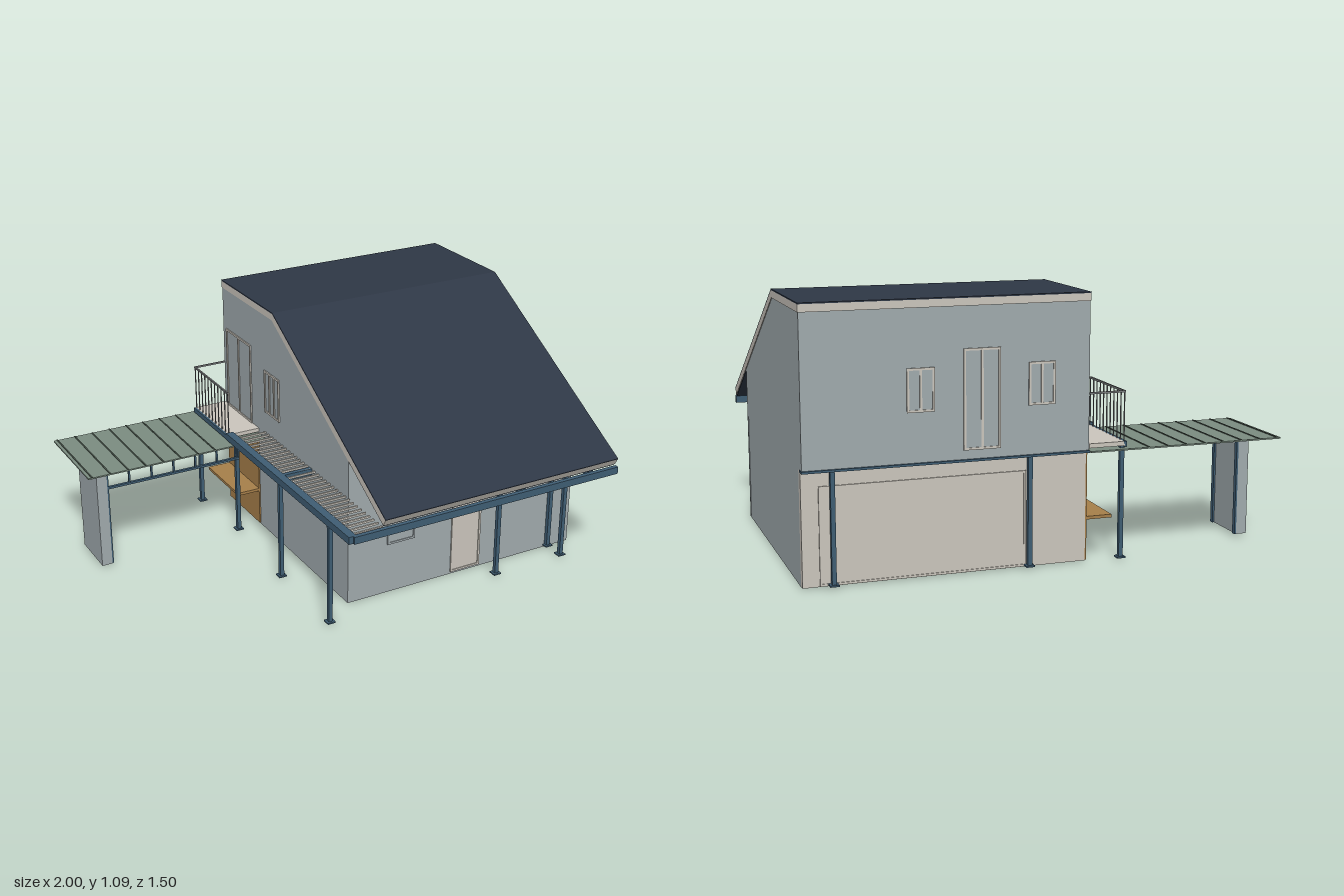
import * as THREE from 'three';

const mat = (name, color) => Object.assign(new THREE.MeshStandardMaterial({ color }), { name });

export function createModel() {
  const wall = mat('wall grey', 0xa0aaad);
  const roof = mat('roof navy', 0x2e3745);
  const trim = mat('trim beige', 0xcac5bc);
  const steel = mat('steel blue', 0x3f5d73);
  const green = mat('canopy green', 0x7b8c80);
  const seamGreen = mat('seam dark green', 0x4d5a50);
  const wood = mat('wood brown', 0xa67f4a);
  const rail = mat('rail grey', 0x77797b);

  const model = new THREE.Group();
  model.name = 'house';
  const group = (name) => {
    const g = new THREE.Group();
    g.name = name;
    model.add(g);
    return g;
  };
  const add = (parent, name, geometry, material) => {
    const m = new THREE.Mesh(geometry, material);
    m.name = name;
    parent.add(m);
    return m;
  };
  // Box given by its extents on each axis
  const box = (parent, name, material, x0, x1, y0, y1, z0, z1) => {
    const m = add(parent, name, new THREE.BoxGeometry(x1 - x0, y1 - y0, z1 - z0), material);
    m.position.set((x0 + x1) / 2, (y0 + y1) / 2, (z0 + z1) / 2);
    return m;
  };
  // Side profile of [z, y] points, extruded from x0 to x1
  const prism = (parent, name, material, points, x0, x1) => {
    const shape = new THREE.Shape(points.map(([z, y]) => new THREE.Vector2(z, y)));
    const g = new THREE.ExtrudeGeometry(shape, { depth: x1 - x0, bevelEnabled: false });
    g.rotateY(-Math.PI / 2).translate(x1, 0, 0);
    return add(parent, name, g, material);
  };

  const L = -0.155, R = 1.0; // house side walls

  // House body with the upper floor overhanging at the back
  const body = group('houseBody');
  prism(body, 'walls', wall, [[0.44, 0], [0.44, 0.672], [-0.23, 1.06], [-0.73, 1.06],
    [-0.73, 0.46], [-0.67, 0.46], [-0.67, 0]], L, R - 0.003);
  box(body, 'backLowerWall', trim, L, R - 0.003, 0.003, 0.46, -0.70, -0.67);
  box(body, 'cornerStrip', wall, R - 0.003, R, 0.01, 0.46, 0.412, 0.418);

  // Roof: beige edge slab, dark covering and dark soffit
  const roofGroup = group('roof');
  prism(roofGroup, 'roofSlab', trim, [[0.738, 0.533], [-0.225, 1.088], [-0.735, 1.088],
    [-0.735, 1.058], [-0.23, 1.058], [0.722, 0.505]], L - 0.002, R);
  prism(roofGroup, 'roofCovering', roof, [[0.738, 0.533], [0.74, 0.537], [-0.224, 1.093],
    [-0.735, 1.093], [-0.735, 1.088], [-0.225, 1.088]], L - 0.002, R);
  prism(roofGroup, 'soffit', roof, [[0.722, 0.505], [0.44, 0.669], [0.44, 0.665], [0.72, 0.501]], L, R - 0.003);

  // Framed openings; local x is width, local z points out of the wall
  const opening = (name, w, h, x, y, z, ry, panes, fill, frame) => {
    const g = group(name);
    const b = 0.009;
    box(g, 'panel', fill, -w / 2, w / 2, 0, h, 0, 0.002);
    for (let i = 0; i <= panes; i++) {
      const c = -w / 2 + b / 2 + (i / panes) * (w - b);
      box(g, 'upright', frame, c - b / 2, c + b / 2, 0, h, 0, 0.006);
    }
    for (const c of [0, h - b]) box(g, 'crosspiece', frame, -w / 2, w / 2, c, c + b, 0, 0.0055);
    g.position.set(x, y, z);
    g.rotation.y = ry;
  };
  opening('frontDoor', 0.15, 0.37, 0.435, 0.01, 0.44, 0, 1, trim, trim);
  opening('frontWindow', 0.135, 0.11, 0.103, 0.232, 0.44, 0, 1, wall, wall);
  opening('backDoor', 0.15, 0.395, 0.29, 0.5, -0.73, Math.PI, 2, wall, trim);
  opening('backWindowLeft', 0.11, 0.17, 0.535, 0.66, -0.73, Math.PI, 2, wall, trim);
  opening('backWindowRight', 0.11, 0.17, 0.045, 0.66, -0.73, Math.PI, 2, wall, trim);
  opening('balconyDoor', 0.25, 0.38, L, 0.49, -0.57, -Math.PI / 2, 2, wall, trim);
  opening('sideWindow', 0.14, 0.2, L, 0.6, -0.24, -Math.PI / 2, 3, wall, trim);
  opening('garageDoor', 0.83, 0.39, 0.515, 0.005, -0.70, Math.PI, 1, trim, trim);

  // Steel posts on base plates
  const frame = group('steelFrame');
  const post = (x, z, top = 0.47) => {
    box(frame, 'post', steel, x - 0.009, x + 0.009, 0.01, top, z - 0.009, z + 0.009);
    box(frame, 'basePlate', steel, x - 0.018, x + 0.018, 0.008, 0.014, z - 0.018, z + 0.018);
  };
  for (const x of [-0.3, 0.53, 0.88]) post(x, 0.545);
  for (const z of [0.11, -0.72]) post(-0.3, z);
  for (const x of [0.09, 0.88]) post(x, -0.72, 0.46);
  post(-0.275, -0.37, 0.46);
  post(0.88, 0.449);

  // Deck beams
  box(frame, 'frontBeam', steel, -0.3, R, 0.468, 0.5, 0.725, 0.745);
  box(frame, 'sideBeam', steel, -0.32, -0.285, 0.468, 0.5, -0.38, 0.735);
  box(frame, 'balconyBeam', steel, -0.318, -0.305, 0.468, 0.49, -0.735, -0.38);
  box(frame, 'crossBeam', steel, -0.3, L, 0.47, 0.5, 0.105, 0.125);
  for (const x of [0.53, 0.88]) box(frame, 'joist', steel, x - 0.01, x + 0.01, 0.468, 0.494, 0.44, 0.73);
  box(frame, 'backLedge', steel, L, R, 0.455, 0.464, -0.74, -0.70);

  // Slatted walkway
  const walkway = group('walkway');
  for (let z = -0.31; z < 0.72; z += 0.033) {
    box(walkway, 'slat', trim, -0.285, L, 0.492, 0.5, z - 0.004, z + 0.004);
  }

  // Balcony with railing
  const balcony = group('balcony');
  box(balcony, 'balconyFloor', trim, -0.308, L, 0.472, 0.49, -0.735, -0.38);
  box(balcony, 'sideHandrail', rail, -0.309, -0.302, 0.688, 0.696, -0.735, -0.38);
  box(balcony, 'backHandrail', rail, -0.305, L, 0.688, 0.696, -0.735, -0.729);
  for (let i = 0; i <= 10; i++) {
    const z = -0.732 + i * 0.0349;
    box(balcony, 'baluster', rail, -0.307, -0.303, 0.49, 0.69, z - 0.002, z + 0.002);
  }

  // Wooden wall panel and bench under the balcony
  const bench = group('bench');
  box(bench, 'woodPanel', wood, L - 0.006, L, 0.005, 0.455, -0.70, -0.38);
  box(bench, 'benchTop', wood, -0.27, L, 0.172, 0.185, -0.70, -0.38);

  // Canopy with standing seams
  const canopy = group('canopy');
  box(canopy, 'canopySheet', green, -1, L, 0.457, 0.463, -0.755, -0.315);
  for (let x = -0.983; x < -0.33; x += 0.0825) {
    box(canopy, 'seam', seamGreen, x - 0.003, x + 0.003, 0.463, 0.466, -0.755, -0.315);
  }

  // Canopy pier and truss
  box(canopy, 'pier', wall, -0.955, -0.908, 0.01, 0.457, -0.57, -0.345);
  for (const z of [-0.56, -0.358]) {
    box(canopy, 'pierPost', steel, -0.91, -0.9, 0.01, 0.457, z - 0.01, z + 0.01);
  }
  for (const y of [0.372, 0.443]) {
    box(canopy, 'trussChord', steel, -0.905, -0.27, y, y + 0.01, -0.365, -0.352);
  }
  for (let i = 0; i < 6; i++) {
    const x = -0.8 + i * 0.105;
    box(canopy, 'trussUpright', steel, x - 0.004, x + 0.004, 0.38, 0.445, -0.363, -0.354);
  }
  return model;
}
